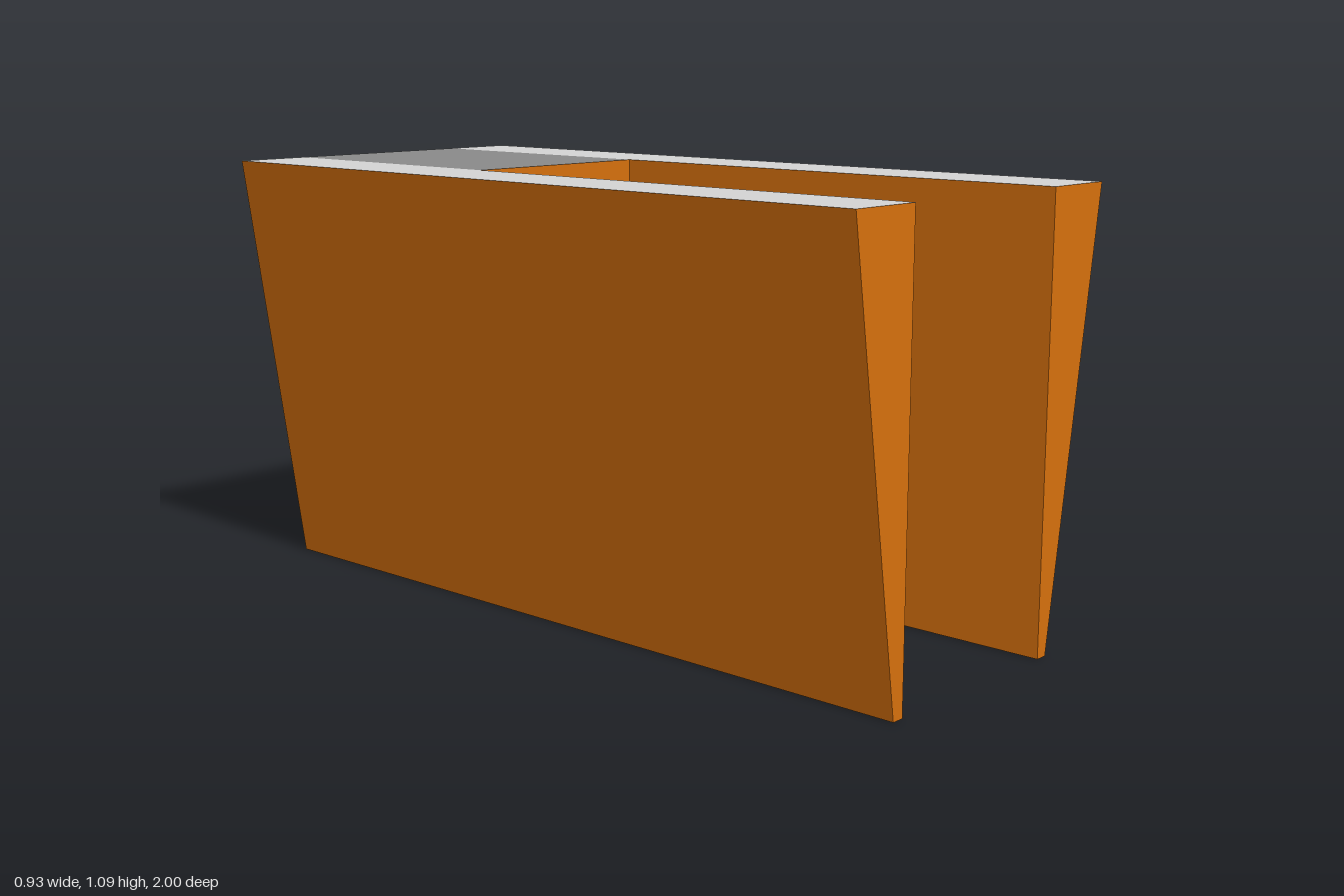
import * as THREE from 'three';

const HEIGHT = 1.085, LENGTH = 2, INNER = 0.265, TOP = 0.463, FOOT = 0.297;

export function createModel() {
  const paint = (name, color) => {
    const m = new THREE.MeshStandardMaterial({ color });
    m.name = name;
    return m;
  };
  const orange = paint('orange', 0xd6700d);
  const lightGrey = paint('lightGrey', 0xd4d4d4);
  const midGrey = paint('midGrey', 0x8a8a8a);
  const darkRed = paint('darkRed', 0x900808);

  const model = new THREE.Group();
  model.name = 'channelFrame';

  // Side walls: upright inside, outer face tapering in towards the foot
  for (const side of [1, -1]) {
    const geo = new THREE.BoxGeometry(TOP - INNER, HEIGHT, LENGTH);
    geo.translate(side * (TOP + INNER) / 2, HEIGHT / 2, 0);
    const pos = geo.attributes.position;
    for (let i = 0; i < pos.count; i++) {
      if (pos.getY(i) < 0.01 && Math.abs(pos.getX(i)) > INNER + 0.01) pos.setX(i, side * FOOT);
    }
    const flat = geo.toNonIndexed();
    flat.computeVertexNormals();
    // Face order: +x, -x, top, bottom, front, back
    const wall = new THREE.Mesh(flat, [orange, orange, lightGrey, orange, orange, orange]);
    flat.clearGroups();
    for (let f = 0; f < 6; f++) flat.addGroup(f * 6, 6, f);
    wall.name = side > 0 ? 'leftWall' : 'rightWall';
    model.add(wall);
  }

  // Deck bridging the walls at the back
  const deckBack = -1, deckFront = -0.29, deckBottom = 0.983;
  const deck = new THREE.Mesh(
    new THREE.BoxGeometry(INNER * 2, HEIGHT - deckBottom, deckFront - deckBack),
    [orange, orange, midGrey, darkRed, orange, orange]
  );
  deck.position.set(0, (HEIGHT + deckBottom) / 2, (deckFront + deckBack) / 2);
  deck.name = 'deck';
  model.add(deck);

  return model;
}
